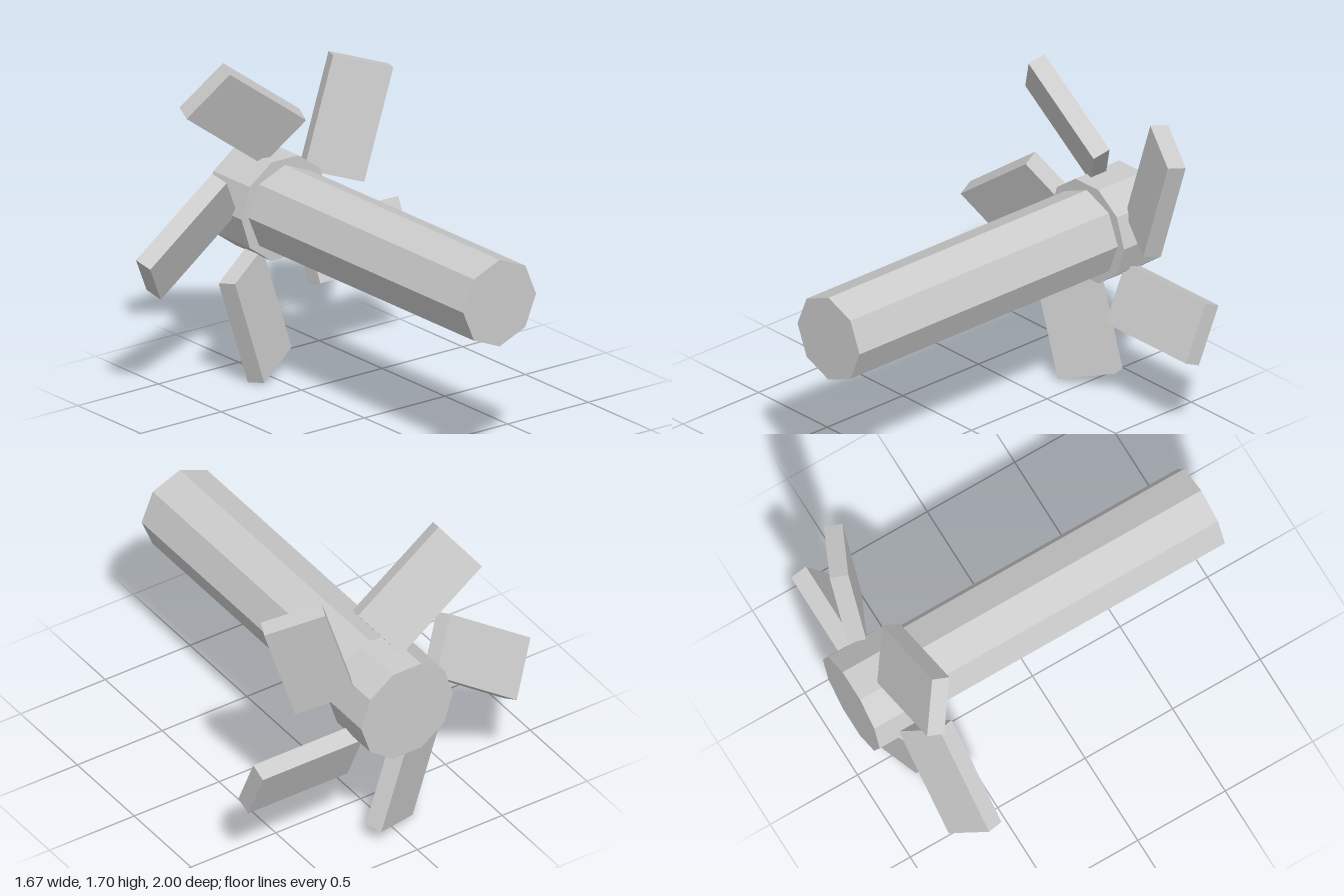
import * as THREE from 'three';

export function createModel() {
  const model = new THREE.Group();
  model.name = 'propellerShaft';
  const material = new THREE.MeshStandardMaterial({ color: 0xcccccc, flatShading: true });

  // Everything is built around the shaft axis
  const rotor = new THREE.Group();
  rotor.name = 'rotor';
  rotor.position.set(0.06, 0.88, 0);
  model.add(rotor);

  // Faceted cylinder along z with a corner pointing to +x
  function addPrism(name, radius, sides, zBack, zFront) {
    const geometry = new THREE.CylinderGeometry(radius, radius, zFront - zBack, sides, 1, false, Math.PI / 2);
    geometry.rotateX(Math.PI / 2);
    const mesh = new THREE.Mesh(geometry, material);
    mesh.name = name;
    mesh.position.z = (zBack + zFront) / 2;
    rotor.add(mesh);
  }
  addPrism('shaft', 0.226, 8, -0.72, 1);
  addPrism('hub', 0.27, 10, -1, -0.71);

  // Five pitched blades, each set to one side of its spoke
  const bladeGeometry = new THREE.BoxGeometry(0.586, 0.314, 0.093);
  bladeGeometry.rotateX(-0.428);
  bladeGeometry.translate(0.478, -0.298, -0.773);
  for (let i = 0; i < 5; i++) {
    const blade = new THREE.Mesh(bladeGeometry, material);
    blade.name = `blade${i + 1}`;
    blade.rotation.z = (i * Math.PI * 2) / 5;
    rotor.add(blade);
  }

  return model;
}
